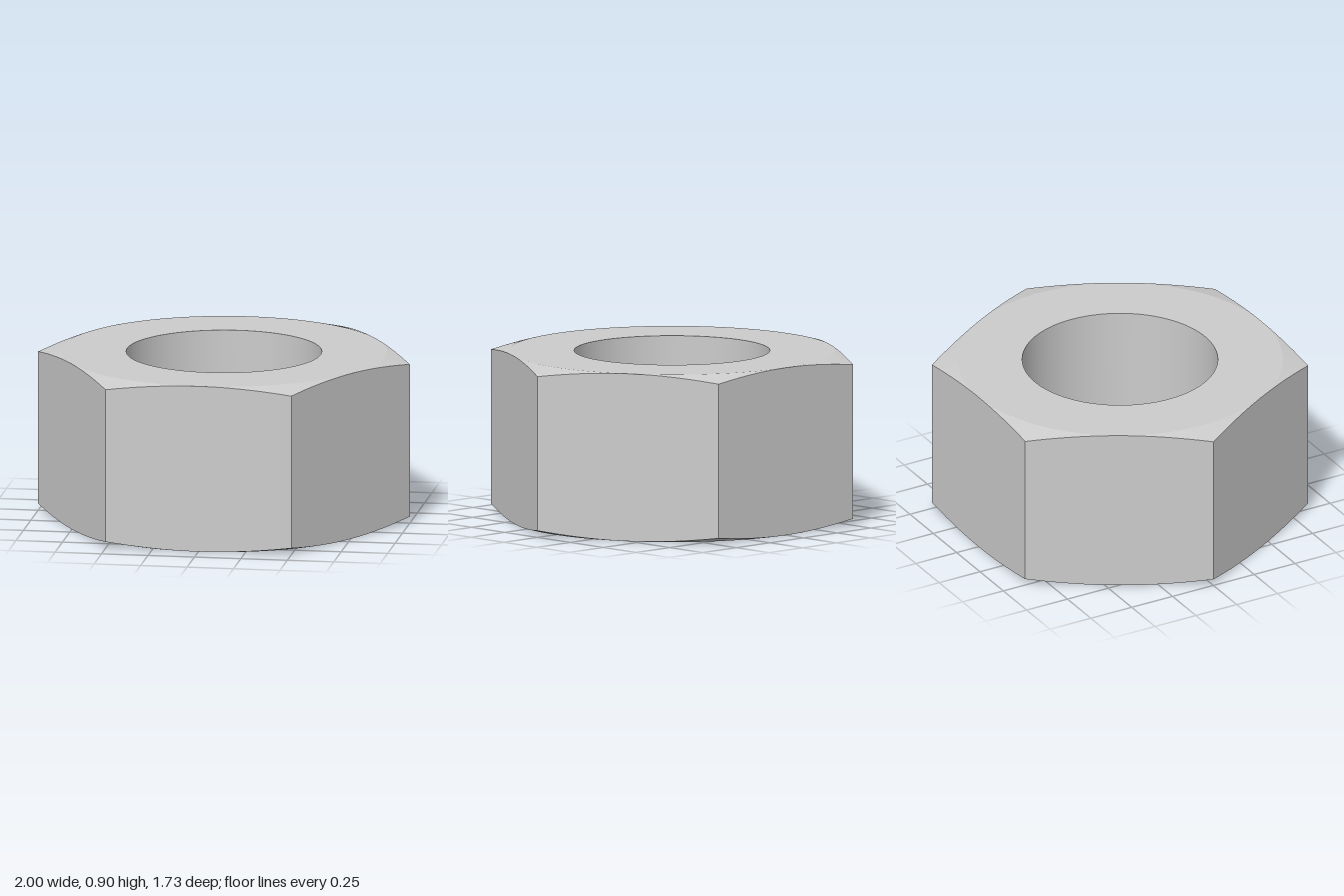
import * as THREE from 'three';
import { toCreasedNormals } from 'three/addons/utils/BufferGeometryUtils.js';

const HEIGHT = 0.9;
const BORE = 0.52;
const APOTHEM = Math.sqrt(3) / 2; // hexagon with corners at radius 1
const CHAMFER = Math.tan(Math.PI / 12); // 15 degree cone cutting the corners
const STEPS = 120; // multiple of 12, so corners and flat middles are sampled

// Closed cross-section of the nut at one angular step, as 3D points
function section(i) {
  const angle = ((i % STEPS) / STEPS) * Math.PI * 2;
  const perSide = STEPS / 6;
  const fromMiddle = (((i % perSide) - perSide / 2) / STEPS) * Math.PI * 2;
  const hex = APOTHEM / Math.cos(fromMiddle);
  const drop = (hex - APOTHEM) * CHAMFER;
  return [
    [BORE, 0], [APOTHEM, 0], [hex, drop],
    [hex, HEIGHT - drop], [APOTHEM, HEIGHT], [BORE, HEIGHT],
  ].map(([r, y]) => new THREE.Vector3(r * Math.cos(angle), y, r * Math.sin(angle)));
}

// Surface swept by one edge of the cross-section
function band(sections, edge) {
  const next = (edge + 1) % 6;
  const positions = [];
  const triangle = new THREE.Triangle();
  const add = (a, b, c) => {
    // the chamfer narrows to nothing at the middle of each flat
    if (triangle.set(a, b, c).getArea() < 1e-9) return;
    for (const p of [a, b, c]) positions.push(p.x, p.y, p.z);
  };
  for (let i = 0; i < STEPS; i++) {
    const p = sections[i], q = sections[i + 1];
    add(p[edge], p[next], q[next]);
    add(p[edge], q[next], q[edge]);
  }
  const geometry = new THREE.BufferGeometry();
  geometry.setAttribute('position', new THREE.Float32BufferAttribute(positions, 3));
  return toCreasedNormals(geometry, Math.PI / 9);
}

export function createModel() {
  const group = new THREE.Group();
  group.name = 'hexNut';
  const material = new THREE.MeshStandardMaterial({ color: 0xcccccc });
  const sections = Array.from({ length: STEPS + 1 }, (_, i) => section(i));
  const names = ['bottomFace', 'bottomChamfer', 'hexSides', 'topChamfer', 'topFace', 'bore'];
  names.forEach((name, edge) => {
    const mesh = new THREE.Mesh(band(sections, edge), material);
    mesh.name = name;
    group.add(mesh);
  });
  return group;
}
